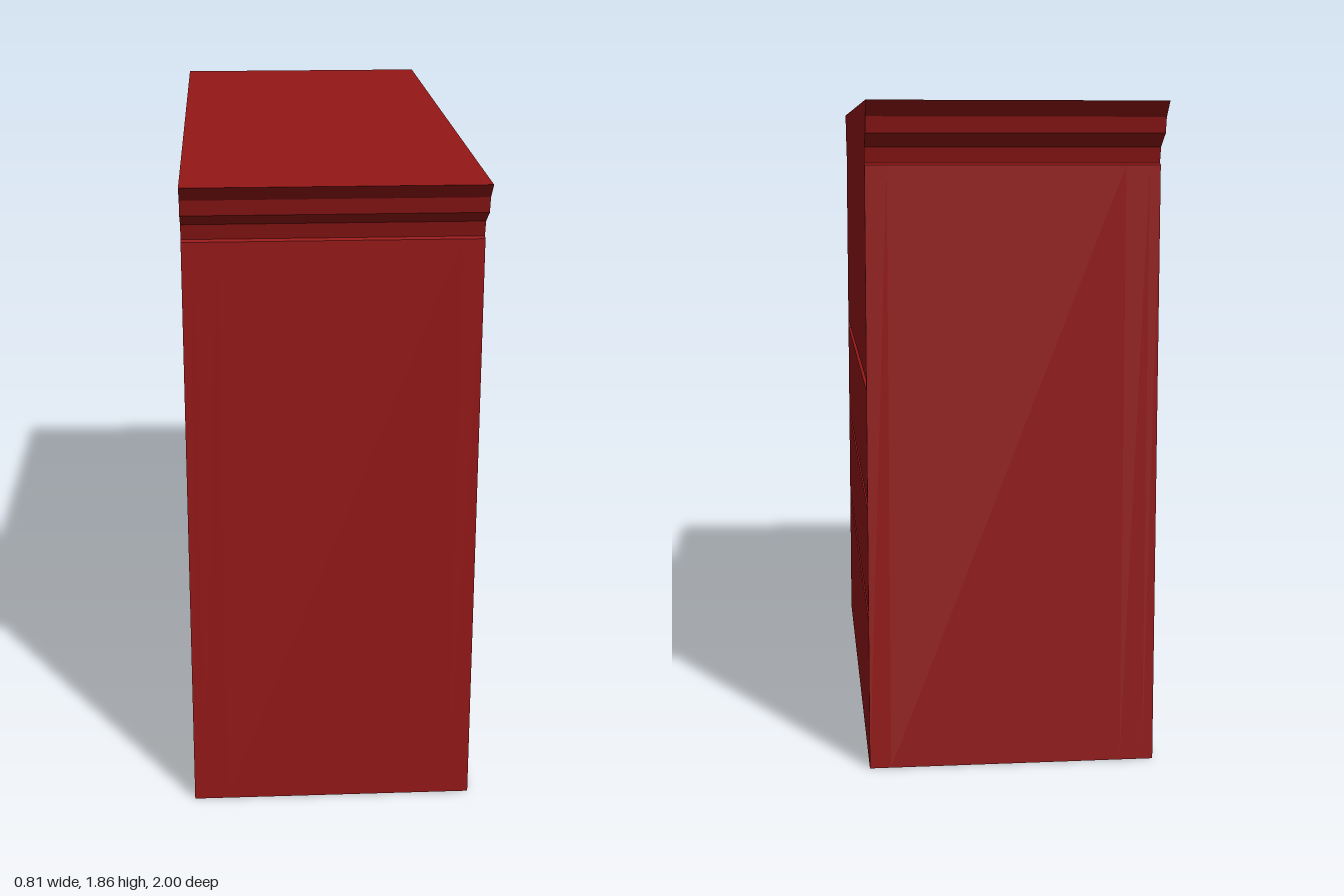
import * as THREE from 'three';

const paint = (color) => new THREE.MeshStandardMaterial({ color, flatShading: true });
const red = paint(0x941717), olive = paint(0x7c7612), blue = paint(0x1f7fc0);

// Half outline of the cabinet seen along x: [z, y], foot to crown moulding
const halfOutline = [
  [0.887, 0], [0.887, 1.69], [0.875, 1.695], [0.887, 1.738],
  [0.946, 1.775], [0.957, 1.818], [1, 1.86],
];
const outline = [...halfOutline, ...halfOutline.map(([z, y]) => [-z, y]).reverse()];

const rect = (z0, z1, y0, y1, Type = THREE.Path) =>
  new Type([[z0, y0], [z1, y0], [z1, y1], [z0, y1]].map(([z, y]) => new THREE.Vector2(z, y)));

// Extrude a z-y shape with holes from x0 to x1
function slab(name, shape, holes, x0, x1) {
  shape.holes = holes;
  const geometry = new THREE.ExtrudeGeometry(shape, { depth: x1 - x0, bevelEnabled: false });
  geometry.rotateY(Math.PI / 2).translate(x0, 0, 0);
  const mesh = new THREE.Mesh(geometry, red);
  mesh.name = name;
  return mesh;
}

function box(name, material, size, position) {
  const mesh = new THREE.Mesh(new THREE.BoxGeometry(...size), material);
  mesh.name = name;
  mesh.position.set(...position);
  return mesh;
}

const cabinetShape = () => new THREE.Shape(outline.map(([z, y]) => new THREE.Vector2(z, y)));
const pair = (a, b, y0, y1) => [rect(a, b, y0, y1), rect(-b, -a, y0, y1)];

// Pull handle: bent bar on two foot plates, on the -x face
function makeHandle() {
  const handle = new THREE.Group();
  handle.name = 'handle';
  const path = new THREE.CurvePath();
  const points = [[0, -0.06], [-0.03, -0.055], [-0.035, -0.035], [-0.035, 0.035], [-0.03, 0.055], [0, 0.06]]
    .map(([x, y]) => new THREE.Vector3(x, y, 0));
  for (let i = 1; i < points.length; i++) path.add(new THREE.LineCurve3(points[i - 1], points[i]));
  const bar = new THREE.Mesh(new THREE.TubeGeometry(path, 24, 0.01, 8), blue);
  bar.name = 'handleBar';
  handle.add(bar);
  for (const y of [-0.063, 0.063])
    handle.add(box('handleFoot', blue, [0.01, 0.03, 0.03], [-0.004, y, 0]));
  return handle;
}

// Door with two columns and four rows of panes
function makeDoor(side) {
  const door = new THREE.Group();
  door.name = side > 0 ? 'leftDoor' : 'rightDoor';
  const holes = [];
  for (const z of [0.285, 0.53])
    for (let row = 0; row < 4; row++) {
      const y = 0.275 + row * 0.315;
      holes.push(rect(-side * z - 0.086, -side * z + 0.086, y - 0.135, y + 0.135));
      door.add(box('glassPane', olive, [0.008, 0.276, 0.178], [-0.328, y, side * z]));
    }
  const c = -side * 0.4075;
  door.add(slab('doorFrame', rect(c - 0.348, c + 0.348, 0.06, 1.455, THREE.Shape), holes, -0.35, -0.315));
  const handle = makeHandle();
  handle.position.set(-0.35, 0.235, side * 0.71);
  door.add(handle);
  return door;
}

export function createModel() {
  const cabinet = new THREE.Group();
  cabinet.name = 'cabinet';

  // Face frame and the stepped frame behind it
  cabinet.add(slab('faceFrame', cabinetShape(), pair(0.02, 0.8, 0.03, 1.5), -0.405, -0.375));
  cabinet.add(slab('doorSurround', cabinetShape(), pair(0.055, 0.76, 0.055, 1.46), -0.375, -0.31));

  // Hollow carcass with crown moulding on both ends
  cabinet.add(slab('carcass', cabinetShape(), [rect(-0.87, 0.87, 0.03, 1.6)], -0.31, 0.345));

  // Back panel with three long slots
  const slots = [[0.427, 0.452], [0.742, 0.764], [1.075, 1.105]];
  cabinet.add(slab('backPanel', cabinetShape(), slots.map(([a, b]) => rect(-0.872, 0.872, a, b)), 0.345, 0.405));

  for (const side of [1, -1]) cabinet.add(makeDoor(side));
  return cabinet;
}
